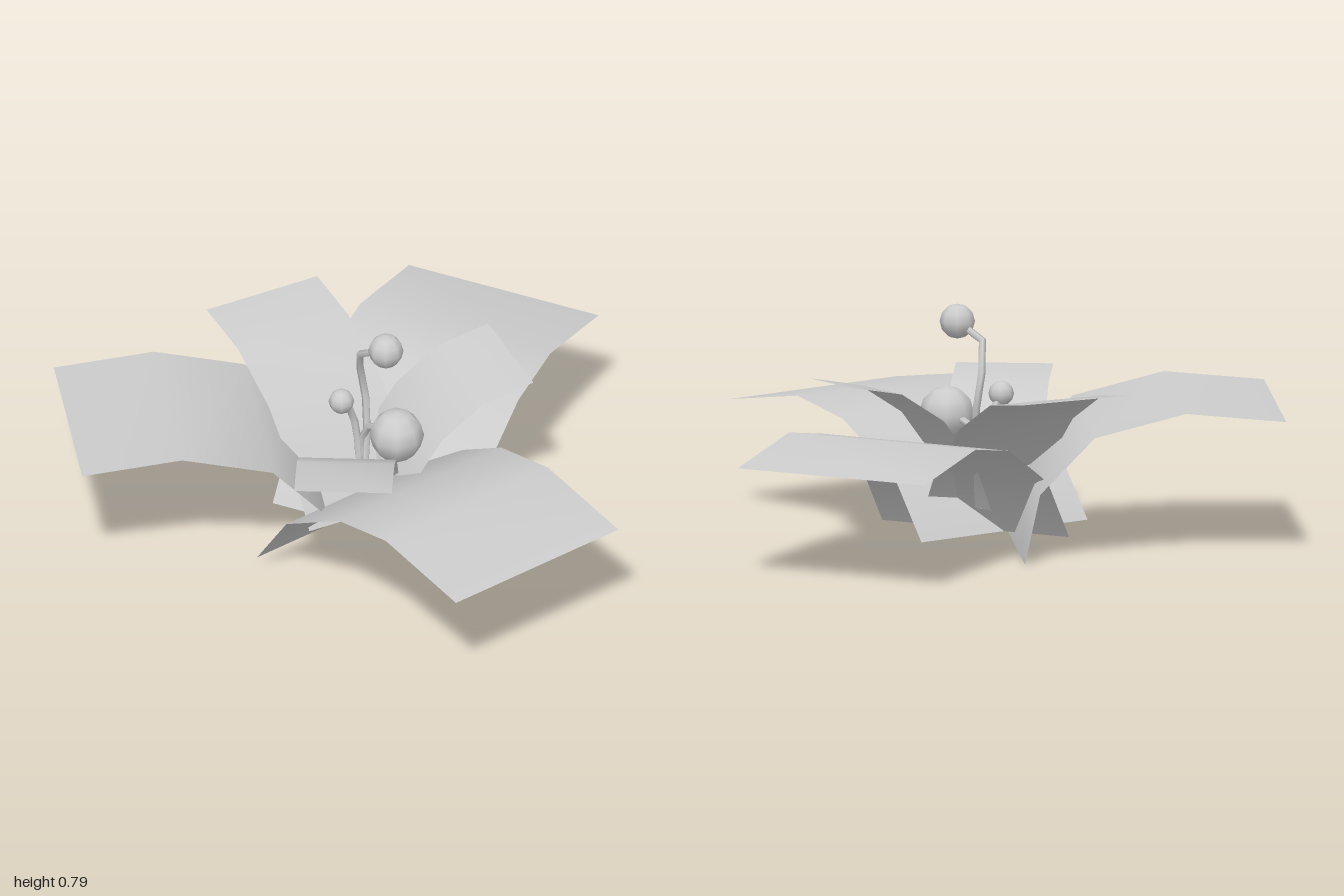
import * as THREE from 'three';

const grey = new THREE.MeshStandardMaterial({ color: 0xcccccc });
const greyThin = new THREE.MeshStandardMaterial({ color: 0xcccccc, side: THREE.DoubleSide });

// A leaf is a strip bent along a profile of [distance outward, height]
function leaf(name, { base: [x, z], angle, width, profile, roll = 0 }) {
  const a = THREE.MathUtils.degToRad(angle);
  const geo = new THREE.PlaneGeometry(1, 1, 1, profile.length - 1);
  const pos = geo.attributes.position;
  for (let i = 0; i < pos.count; i++) {
    const [s, y] = profile[Math.floor(i / 2)];
    const u = i % 2 - 0.5;
    pos.setXYZ(i,
      x + s * Math.cos(a) - u * width * Math.sin(a),
      y + u * roll,
      z + s * Math.sin(a) + u * width * Math.cos(a));
  }
  geo.computeVertexNormals();
  const mesh = new THREE.Mesh(geo, greyThin);
  mesh.name = name;
  return mesh;
}

// A stalk follows a path and carries a berry at its last point
function berryStalk(name, radius, points) {
  const group = new THREE.Group();
  group.name = name;
  const path = points.map(p => new THREE.Vector3(...p));
  const curve = new THREE.CatmullRomCurve3(path);
  const stalk = new THREE.Mesh(new THREE.TubeGeometry(curve, 6, 0.013, 5), grey);
  stalk.name = 'stalk';
  const berry = new THREE.Mesh(new THREE.SphereGeometry(radius, 8, 6), grey);
  berry.name = 'berry';
  berry.position.copy(path[path.length - 1]);
  group.add(stalk, berry);
  return group;
}

export function createModel() {
  const model = new THREE.Group();
  model.name = 'plant';

  // Large drooping outer leaves
  const droop = [[0, 0.04], [0.15, 0.245], [0.42, 0.393], [0.66, 0.435], [1.02, 0.373]];
  const steep = [[0, 0.01], [0.05, 0.24], [0.23, 0.425], [0.53, 0.5], [0.86, 0.467]];
  model.add(
    leaf('largeLeafLeft', { base: [-0.1, 0.115], angle: 5.8, width: 0.69, profile: droop }),
    leaf('largeLeafBack', { base: [0, 0.08], angle: 251.4, width: 0.69, profile: droop }),
    leaf('largeLeafFront', { base: [-0.16, 0.1], angle: 127.7, width: 0.69, profile: steep, roll: -0.02 }),
  );

  // Small upright inner leaves
  model.add(
    leaf('smallLeafRight', {
      base: [0, 0.093], angle: 196.3, width: 0.415,
      profile: [[0, 0.1], [0.09, 0.25], [0.27, 0.43], [0.48, 0.54], [0.69, 0.573]],
    }),
    leaf('smallLeafBack', {
      base: [-0.012, 0.045], angle: -69.6, width: 0.35, roll: -0.025,
      profile: [[0, 0.12], [0.06, 0.28], [0.17, 0.43], [0.32, 0.53], [0.5, 0.565]],
    }),
    leaf('smallLeafFront', {
      base: [-0.085, 0.073], angle: 48, width: 0.32,
      profile: [[0, 0.15], [0.08, 0.28], [0.2, 0.4], [0.35, 0.48], [0.56, 0.503]],
    }),
  );

  // Berries on curved stalks
  model.add(
    berryStalk('tallBerry', 0.058, [[-0.05, 0.12, 0.05], [-0.09, 0.42, -0.01], [-0.11, 0.57, 0], [-0.06, 0.68, 0.05], [0.04, 0.73, 0.035]]),
    berryStalk('smallBerry', 0.042, [[-0.06, 0.12, 0.05], [-0.1, 0.35, 0.03], [-0.11, 0.44, 0.05], [-0.1, 0.5, 0.1]]),
    berryStalk('largeBerry', 0.09, [[-0.05, 0.12, 0.05], [-0.09, 0.3, 0.02], [-0.05, 0.39, 0.02], [0.085, 0.42, 0.03]]),
  );
  return model;
}
